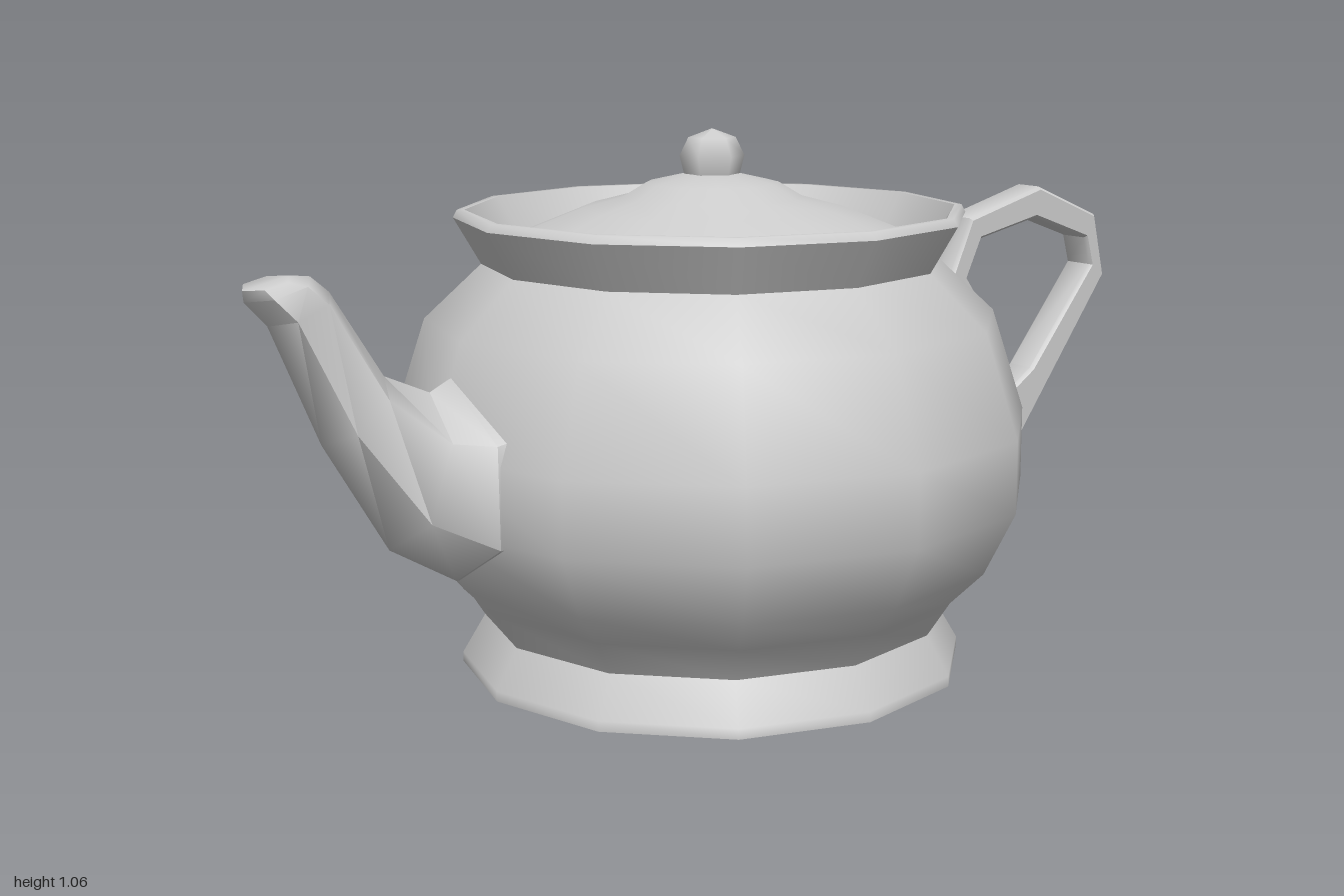
import * as THREE from 'three';
import { toCreasedNormals } from 'three/addons/utils/BufferGeometryUtils.js';

const CENTRE_Z = 0.025; // axis of the round pot

export function createModel() {
  const group = new THREE.Group();
  group.name = 'teapot';
  const ceramic = new THREE.MeshStandardMaterial({ color: 0xcccccc, side: THREE.DoubleSide });
  ceramic.name = 'grey ceramic';

  const add = (name, geometry) => {
    const mesh = new THREE.Mesh(geometry, ceramic);
    mesh.name = name;
    group.add(mesh);
    return mesh;
  };
  const turned = (name, profile, sides = 12) => {
    const points = profile.map(([r, y]) => new THREE.Vector2(r, y));
    add(name, new THREE.LatheGeometry(points, sides)).position.z = CENTRE_Z;
  };

  // Round shell, open underneath through the foot ring
  turned('foot', [[0.5, 0], [0.5, 0.02], [0.455, 0.097]]);
  turned('body', [[0.455, 0.097], [0.5, 0.167], [0.565, 0.232], [0.625, 0.355],
    [0.625, 0.495], [0.56, 0.695], [0.448, 0.8]]);
  turned('collar', [[0.448, 0.8], [0.5, 0.89]]);
  turned('rimEdge', [[0.5, 0.89], [0.492, 0.905], [0.478, 0.905]]);
  turned('rimInside', [[0.478, 0.905], [0.425, 0.82]]);

  // Lid
  turned('lid', [[0.43, 0.835], [0.255, 0.905], [0.175, 0.926], [0.13, 0.953], [0.055, 0.97], [0, 0.972]]);

  // Knob: six sides with points to left and right
  const knobPoints = [[0.053, 0.965], [0.063, 1.005], [0.046, 1.04], [0, 1.057]]
    .map(([r, y]) => new THREE.Vector2(r, y));
  const knob = add('knob', new THREE.LatheGeometry(knobPoints, 6, Math.PI / 2));
  knob.position.z = CENTRE_Z;

  // Spout: six-sided rings given as top z, top y, bottom z, bottom y, half width
  const rings = [
    [0.53, 0.65, 0.53, 0.25, 0.17],
    [0.61, 0.63, 0.605, 0.25, 0.17],
    [0.65, 0.61, 0.74, 0.33, 0.125],
    [0.74, 0.65, 0.865, 0.54, 0.082],
    [0.84, 0.81, 0.957, 0.76, 0.062],
    [0.875, 0.84, 0.998, 0.805, 0.058],
    [0.914, 0.845, 1.0, 0.825, 0.045],
  ];
  const corners = [[0, 0], [-1, 0.25], [-1, 0.75], [0, 1], [1, 0.75], [1, 0.25]];
  const positions = [];
  const index = [];
  rings.forEach(([tz, ty, bz, by, w], i) => {
    corners.forEach(([side, t], k) => {
      positions.push(side * w, ty + (by - ty) * t, tz + (bz - tz) * t);
      if (i === rings.length - 1) return;
      const a = i * 6 + k;
      const b = i * 6 + (k + 1) % 6;
      index.push(a, b, b + 6, a, b + 6, a + 6);
    });
  });
  const tip = (rings.length - 1) * 6;
  for (let k = 1; k < 5; k++) index.push(tip, tip + k, tip + k + 1);
  const spout = new THREE.BufferGeometry();
  spout.setAttribute('position', new THREE.Float32BufferAttribute(positions, 3));
  spout.setIndex(index);
  add('spout', toCreasedNormals(spout, 1.1));

  // Handle: angular loop drawn as z, y and extruded across x
  const outline = [
    [-0.52, 0.69], [-0.54, 0.7], [-0.603, 0.845], [-0.8, 0.9], [-0.968, 0.83], [-1, 0.695],
    [-0.79, 0.4], [-0.635, 0.175], [-0.593, 0.207], [-0.496, 0.175],
    [-0.565, 0.287], [-0.614, 0.27], [-0.65, 0.41], [-0.79, 0.507],
    [-0.957, 0.72], [-0.94, 0.78], [-0.79, 0.834], [-0.635, 0.8],
    [-0.598, 0.72], [-0.64, 0.662], [-0.56, 0.56],
  ].map(([z, y]) => new THREE.Vector2(-z, y));
  const width = 0.077;
  const handle = new THREE.ExtrudeGeometry(new THREE.Shape(outline), {
    depth: width - 0.016, bevelThickness: 0.008, bevelSize: 0.006, bevelOffset: -0.006, bevelSegments: 1,
  });
  handle.translate(0, 0, -(width - 0.016) / 2);
  handle.rotateY(Math.PI / 2);
  handle.translate(0.017, 0, 0);
  add('handle', toCreasedNormals(handle, 0.7));

  return group;
}
